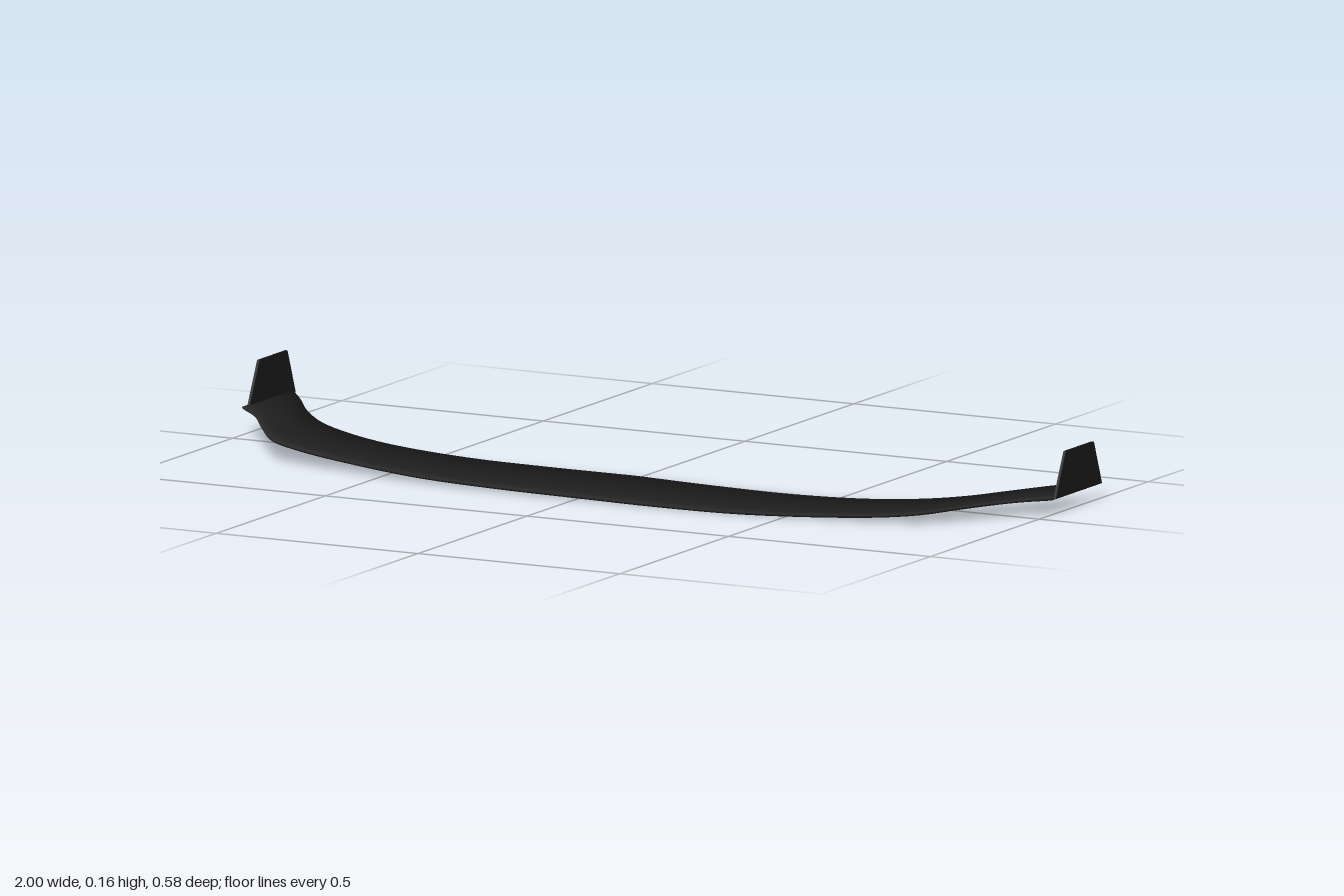
import * as THREE from 'three';

const THICK = 0.006;

// Plan stations for one half: distance from centre, underside height, rear z, front z
const STATIONS = [
  [0, 0.004, 0.012, 0.286], [0.2, 0.004, 0.022, 0.284], [0.4, 0.006, 0.029, 0.271],
  [0.6, 0.013, 0.014, 0.233], [0.72, 0.022, -0.013, 0.212], [0.8, 0.031, -0.045, 0.187],
  [0.87, 0.039, -0.108, 0.108], [0.94, 0.043, -0.205, 0.01], [1, 0.045, -0.28, -0.047],
];

// Sweeps a thin closed section along the width; normals roll over at both edges
function bladeGeometry() {
  const edge = (k) => new THREE.CatmullRomCurve3(
    STATIONS.map((s) => new THREE.Vector3(s[0], s[1], s[k])));
  const rear = edge(2), front = edge(3);
  const HALF = 32, ACROSS = 6, RING = 2 * (ACROSS + 1);
  const pos = [], nor = [], idx = [];
  for (let i = -HALF; i <= HALF; i++) {
    const side = Math.sign(i) || 1;
    const a = rear.getPoint(Math.abs(i) / HALF);
    const b = front.getPoint(Math.abs(i) / HALF);
    for (let j = 0; j < RING; j++) {
      const top = j <= ACROSS;
      const v = top ? j / ACROSS : (RING - 1 - j) / ACROSS;
      const p = a.clone().lerp(b, v);
      const rake = !top && v === 1 ? -0.006 : 0; // leading edge slopes back underneath
      pos.push(p.x * side, p.y + (top ? THICK : 0), p.z + rake);
      const n = new THREE.Vector3(0, top ? 1 : -1, (2 * v - 1) * 0.8).normalize();
      nor.push(n.x, n.y, n.z);
    }
  }
  for (let i = 0; i < 2 * HALF; i++) {
    for (let j = 0; j < RING; j++) {
      const p = i * RING + j, q = i * RING + (j + 1) % RING;
      idx.push(p, q, p + RING, q, q + RING, p + RING);
    }
  }
  const geo = new THREE.BufferGeometry();
  geo.setAttribute('position', new THREE.Float32BufferAttribute(pos, 3));
  geo.setAttribute('normal', new THREE.Float32BufferAttribute(nor, 3));
  geo.setIndex(idx);
  return geo;
}

// Upright trapezoid plate, drawn as (z, y) and turned to face sideways
function finGeometry() {
  const shape = new THREE.Shape([
    [-0.285, 0.045], [-0.07, 0.045], [-0.115, 0.144], [-0.245, 0.144],
  ].map(([z, y]) => new THREE.Vector2(z, y)));
  const geo = new THREE.ExtrudeGeometry(shape, { depth: THICK, bevelEnabled: false });
  geo.rotateY(-Math.PI / 2);
  geo.translate(THICK / 2, 0, 0);
  return geo;
}

export function createModel() {
  const model = new THREE.Group();
  model.name = 'frontSplitter';
  const black = new THREE.MeshStandardMaterial({ color: 0x1c1c1c, side: THREE.DoubleSide });
  black.name = 'satinBlack';

  // Slight lean and yaw of the whole assembly
  const assembly = new THREE.Group();
  assembly.name = 'splitterAssembly';
  assembly.rotation.set(0, 0.005, -0.0125);
  model.add(assembly);

  const blade = new THREE.Mesh(bladeGeometry(), black);
  blade.name = 'splitterBlade';
  assembly.add(blade);

  // End fins
  for (const [name, side] of [['leftFin', 1], ['rightFin', -1]]) {
    const fin = new THREE.Mesh(finGeometry(), black);
    fin.name = name;
    fin.position.x = side * (1 - THICK / 2);
    assembly.add(fin);
  }
  return model;
}
